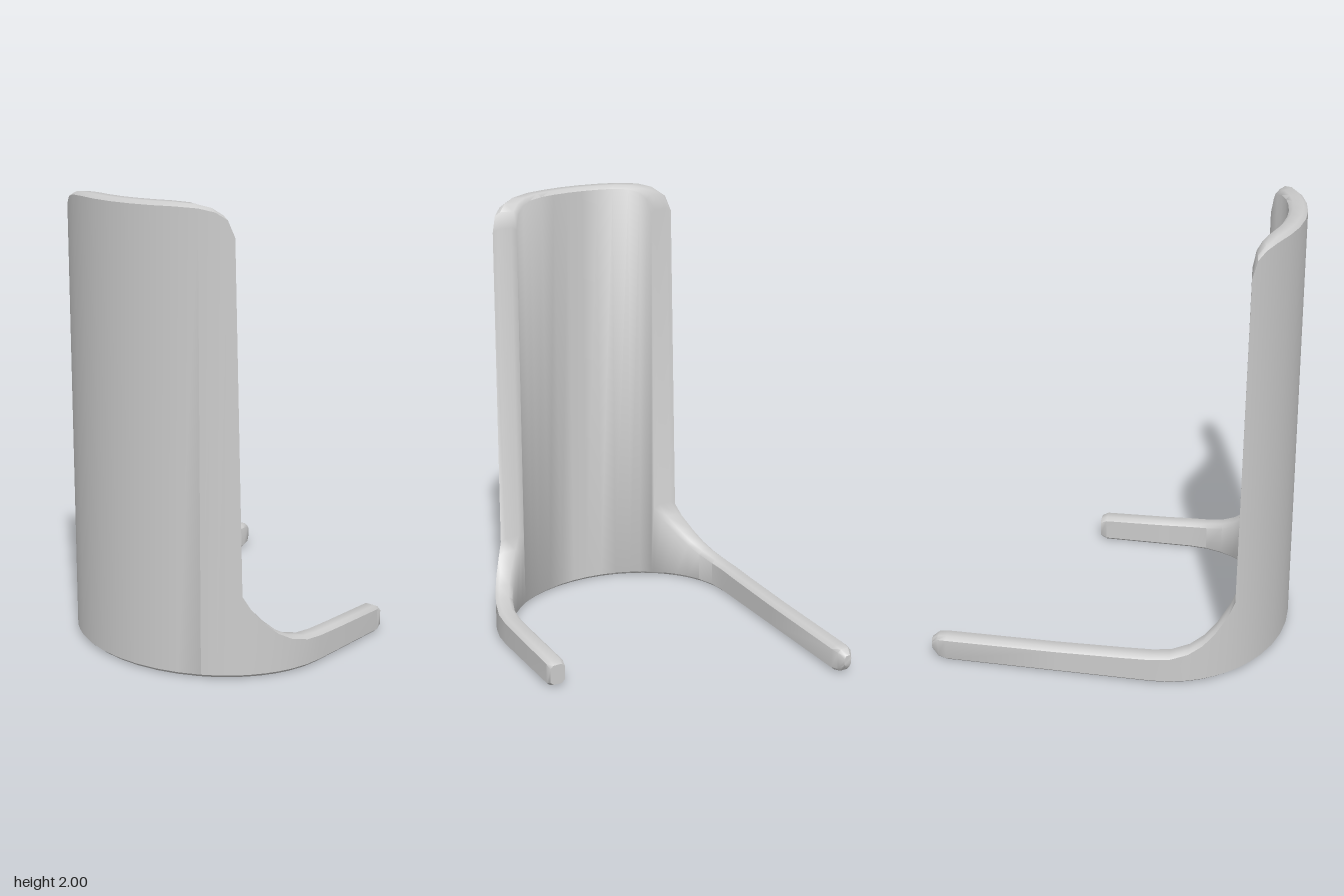
import * as THREE from 'three';
import { toCreasedNormals } from 'three/addons/utils/BufferGeometryUtils.js';

// Plan outline: half ellipses in front of CZ, straight arms behind it
const CZ = 0.23;
const OUTER = { a: 0.63, b: 0.54 }, INNER = { a: 0.55, b: 0.46 };
const EDGE_Z = 0.585;

const xAt = (e, z) => (z <= CZ ? e.a : e.a * Math.sqrt(1 - ((z - CZ) / e.b) ** 2));

// Cross-section across the wall, matched in z on both faces
function armStation(side, z, y0, y1, pinch = 0) {
  return {
    outer: [side * (xAt(OUTER, z) - pinch), z],
    inner: [side * (xAt(INNER, z) + pinch), z],
    y0, y1,
  };
}

// Fillet sweeping from the arm up to the panel edge: [z, height]
const FILLET = [
  [0.1, 0.132], [0.23, 0.137], [0.31, 0.143], [0.39, 0.165], [0.45, 0.2],
  [0.5, 0.25], [0.55, 0.32], [0.577, 0.38],
];

// One arm, listed from its tip to the panel
function armStations(side, tip) {
  return [...tip, ...FILLET.map(([z, y]) => [z, 0, y])]
    .map(([z, y0, y1, pinch]) => armStation(side, z, y0, y1, pinch));
}

// Upright curved panel, with rounded top corners
function panelStations() {
  const onEllipse = (e, angle) => [-e.a * Math.cos(angle), CZ + e.b * Math.sin(angle)];
  const startOuter = Math.asin((EDGE_Z + 0.012 - CZ) / OUTER.b);
  const startInner = Math.asin((EDGE_Z - CZ) / INNER.b);
  const steps = [0, 0.03, 0.08, 0.15, 0.25, 0.35, 0.45, 0.55, 0.65, 0.75, 0.85, 0.92, 0.97, 1];
  const corner = [1.88, 1.95, 1.98, 1.995];
  return steps.map((t, i) => ({
    outer: onEllipse(OUTER, THREE.MathUtils.lerp(startOuter, Math.PI - startOuter, t)),
    inner: onEllipse(INNER, THREE.MathUtils.lerp(startInner, Math.PI - startInner, t)),
    y0: 0,
    y1: corner[Math.min(i, steps.length - 1 - i)] ?? 2,
  }));
}

// Eight-sided ring with bevelled edges
function ring({ outer, inner, y0, y1 }) {
  const c = 0.015, f = 0.22;
  return [
    [0, y0 + c], [f, y0], [1 - f, y0], [1, y0 + c],
    [1, y1 - c], [1 - f, y1], [f, y1], [0, y1 - c],
  ].map(([t, y]) => [
    THREE.MathUtils.lerp(inner[0], outer[0], t), y,
    THREE.MathUtils.lerp(inner[1], outer[1], t),
  ]);
}

// Skin the rings and close both ends
function loft(stations) {
  const rings = stations.map(ring), n = 8, index = [];
  for (let i = 0; i < rings.length - 1; i++) {
    for (let k = 0; k < n; k++) {
      const a = i * n + k, b = i * n + ((k + 1) % n);
      index.push(a, b + n, b, a, a + n, b + n);
    }
  }
  const last = (rings.length - 1) * n;
  for (let k = 1; k < n - 1; k++) {
    index.push(0, k, k + 1, last, last + k + 1, last + k);
  }
  const geometry = new THREE.BufferGeometry();
  geometry.setAttribute('position', new THREE.Float32BufferAttribute(rings.flat(2), 3));
  geometry.setIndex(index);
  return toCreasedNormals(geometry, 0.85);
}

export function createModel() {
  const group = new THREE.Group();
  group.name = 'curvedStand';

  // Tips: [z, bottom, top, pinch]; the right arm is longer and more rounded
  const longArm = armStations(-1, [
    [-0.77, 0.04, 0.095, 0.022], [-0.74, 0.01, 0.118, 0.006], [-0.7, 0, 0.122, 0], [-0.2, 0, 0.125, 0],
  ]);
  const shortArm = armStations(1, [[-0.23, 0.015, 0.11, 0.004], [-0.2, 0, 0.125, 0]]);

  const stations = [...longArm, ...panelStations(), ...shortArm.reverse()];
  const body = new THREE.Mesh(loft(stations), new THREE.MeshStandardMaterial({ color: 0xcccccc }));
  body.name = 'panelWithArms';
  group.add(body);
  return group;
}
